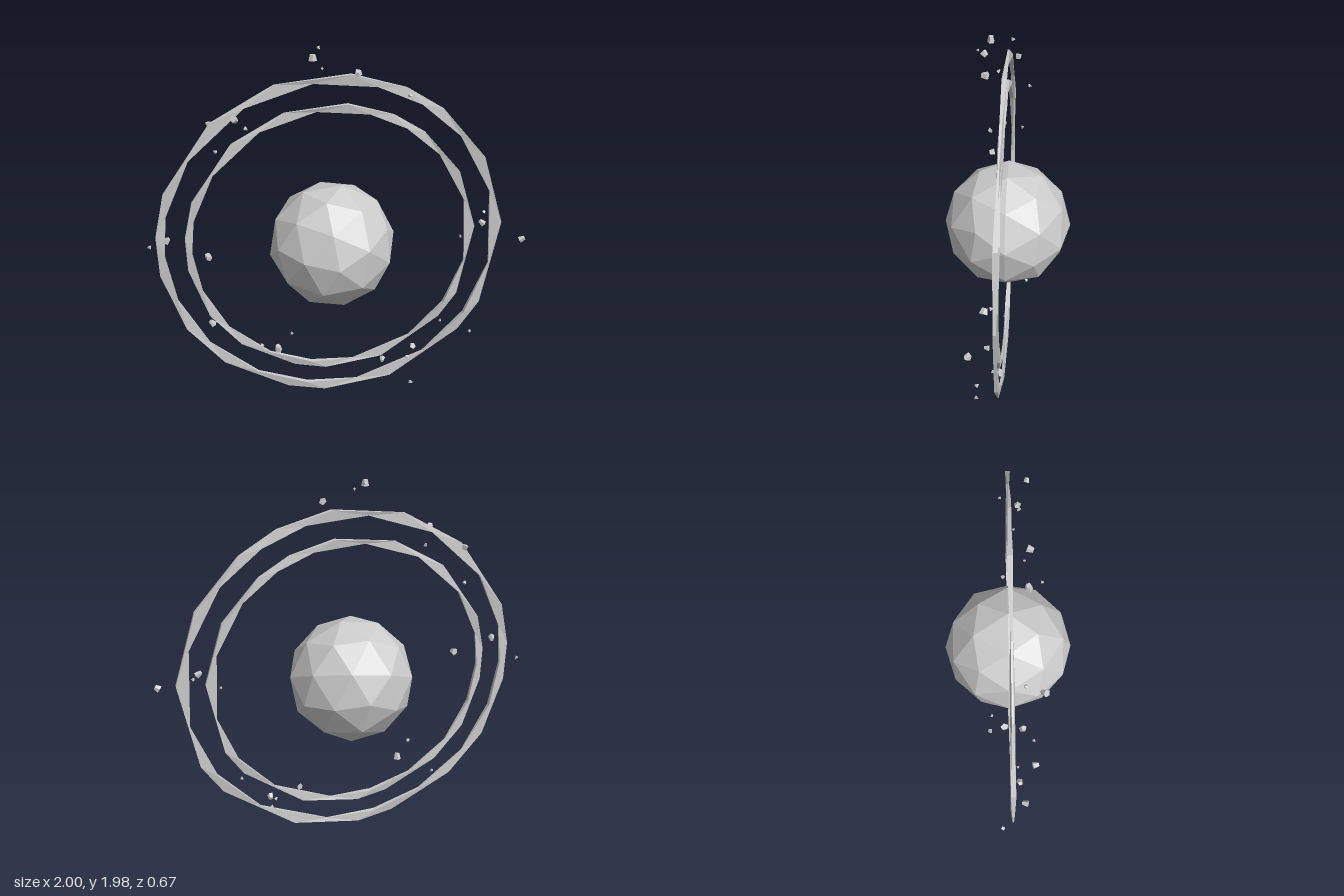
import * as THREE from 'three';

const CENTER = new THREE.Vector3(-0.03, 0.926, 0);
const material = new THREE.MeshStandardMaterial({ color: 0xcccccc, flatShading: true });

function addMesh(parent, name, geometry) {
  const mesh = new THREE.Mesh(geometry, material);
  mesh.name = name;
  parent.add(mesh);
  return mesh;
}

// Corners of the hoops in degrees, unevenly spaced as if hand cut
const CORNERS = [5, 30, 52, 66, 84, 108, 131, 159, 174, 188, 210, 229, 254, 267, 291, 321, 334];

// Thin hoop: inner corners sit halfway between outer ones, so its width swells and narrows
function facetedRing(outer, inner, halfDepth) {
  const count = CORNERS.length, rows = 4;
  const positions = [], index = [];
  for (let i = 0; i <= count; i++) {
    const here = CORNERS[i % count];
    const next = here + (CORNERS[(i + 1) % count] - here + 360) % 360;
    const a = THREE.MathUtils.degToRad(here);
    const b = THREE.MathUtils.degToRad((here + next) / 2);
    const outerDepth = halfDepth * (0.6 + 0.4 * Math.sin((i % count) * 2));
    const innerDepth = halfDepth * (0.6 - 0.4 * Math.sin((i % count) * 2));
    for (const [r, angle, z] of [
      [outer, a, -outerDepth], [outer, a, outerDepth],
      [inner, b, innerDepth], [inner, b, -innerDepth],
    ]) positions.push(r * Math.cos(angle), r * Math.sin(angle), z);
    if (i === count) break;
    for (let k = 0; k < rows; k++) {
      const p = i * rows + k, q = i * rows + (k + 1) % rows;
      if (k < 2) index.push(p, p + rows, q, p + rows, q + rows, q);
      else index.push(p, p + rows, q + rows, p, q + rows, q);
    }
  }
  const geometry = new THREE.BufferGeometry();
  geometry.setAttribute('position', new THREE.Float32BufferAttribute(positions, 3));
  geometry.setIndex(index);
  geometry.computeVertexNormals();
  return geometry;
}

// x, y, z, radius of each drifting rock
const ROCKS = [
  [-0.13, 1.95, 0.085, 0.024], [-0.09, 1.97, -0.02, 0.012], [-0.09, 1.91, 0.145, 0.010],
  [0.085, 1.87, 0.10, 0.023], [0.35, 1.74, 0.055, 0.014], [-0.51, 1.68, 0.15, 0.023],
  [-0.64, 1.605, -0.025, 0.020], [-0.46, 1.61, 0.07, 0.014], [-0.62, 1.44, -0.09, 0.014],
  [-0.885, 1.03, 0.07, 0.023], [-0.68, 0.95, 0.13, 0.024], [-0.99, 0.94, -0.04, 0.014],
  [0.765, 1.035, 0.065, 0.023], [0.805, 1.05, -0.035, 0.012], [0.66, 0.95, 0.04, 0.011],
  [0.975, 0.955, 0.125, 0.022], [-0.69, 0.515, 0.055, 0.023], [-0.34, 0.345, 0.085, 0.027],
  [-0.43, 0.405, 0.145, 0.014], [-0.25, 0.315, -0.10, 0.013], [0.24, 0.235, 0.105, 0.020],
  [0.43, 0.255, 0.02, 0.022], [0.39, 0.21, 0.06, 0.014], [0.40, 0.097, 0.15, 0.015],
  [0.585, 0.41, 0.01, 0.012], [0.73, 0.39, 0.12, 0.013], [-0.55, 0.23, 0.05, 0.012],
];

export function createModel() {
  const model = new THREE.Group();
  model.name = 'ringedPlanet';

  // Faceted globe with one vertex facing front
  const globe = new THREE.IcosahedronGeometry(0.336, 1);
  globe.rotateX(Math.atan(2 / (1 + Math.sqrt(5))));
  globe.rotateZ(THREE.MathUtils.degToRad(-27.5));
  addMesh(model, 'planet', globe).position.set(CENTER.x, 0.929, 0);

  // Two matching hoops, the inner a smaller copy
  for (const [name, scale] of [['outerRing', 1], ['innerRing', 0.838]]) {
    const ring = addMesh(model, name, facetedRing(0.924 * scale, 0.882 * scale, 0.013));
    ring.position.set(CENTER.x, CENTER.y, 0.011);
  }

  // Rocks scattered around the rings: tapered blocks for large ones, pointed chips for small ones
  const rocks = new THREE.Group();
  rocks.name = 'rocks';
  model.add(rocks);
  const block = new THREE.CylinderGeometry(0.6, 0.9, 1.4, 5);
  const chip = new THREE.CylinderGeometry(0.3, 0.9, 1.3, 4);
  ROCKS.forEach(([x, y, z, radius], i) => {
    const rock = addMesh(rocks, `rock${i + 1}`, radius > 0.017 ? block : chip);
    rock.position.set(x, y, z);
    rock.rotation.set(i * 1.7, i * 2.3, i * 0.9);
    rock.scale.set(radius, radius * 0.9, radius * 0.85);
  });

  return model;
}
